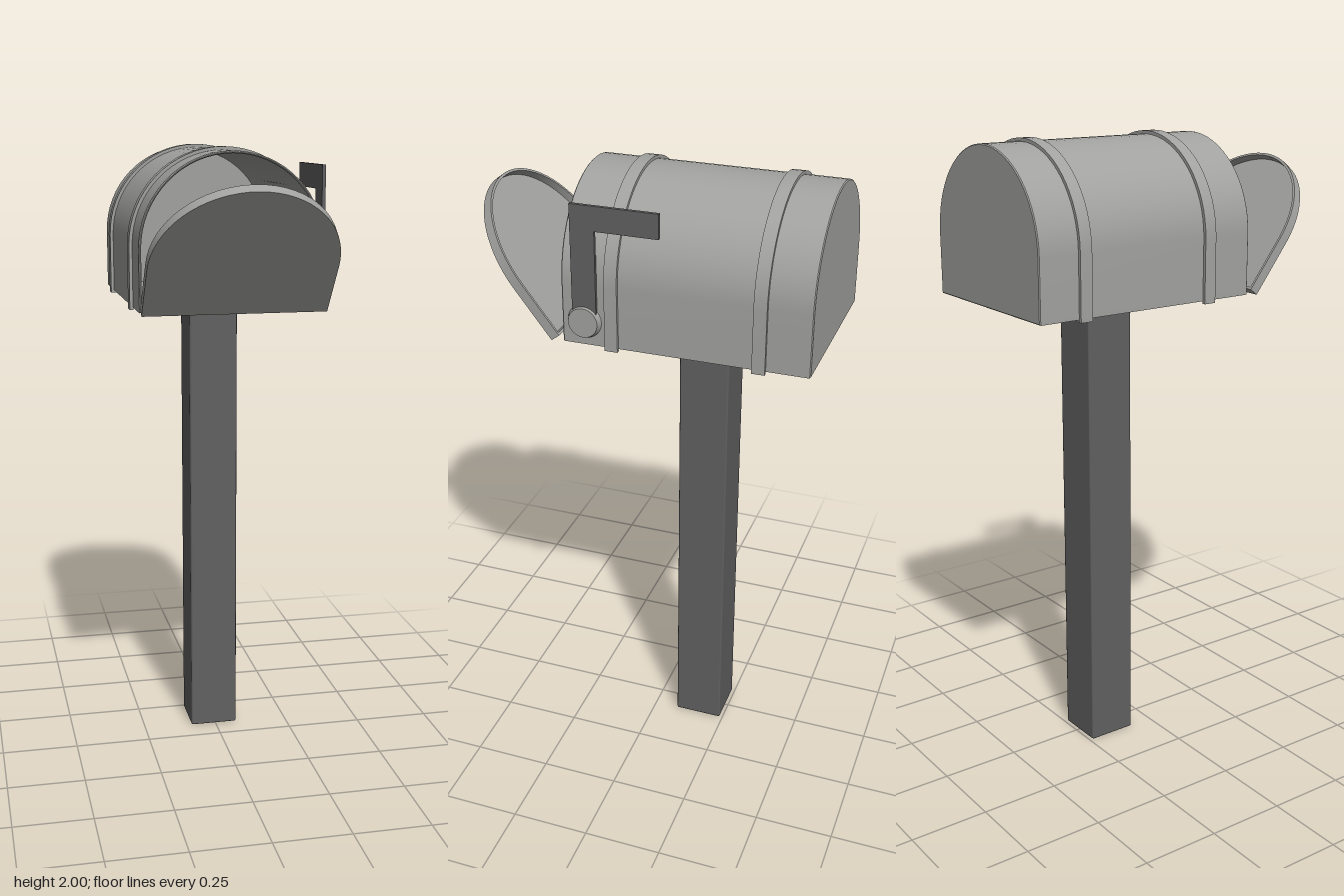
import * as THREE from 'three';
import { toCreasedNormals } from 'three/addons/utils/BufferGeometryUtils.js';
import { RoundedBoxGeometry } from 'three/addons/geometries/RoundedBoxGeometry.js';

const SPRING = 0.19; // height where the straight sides turn into the arch
const R = 0.289;     // half width of the box
const WALL = 0.008;

const lightMetal = new THREE.MeshStandardMaterial({ color: 0xa2a2a0 });
lightMetal.name = 'light metal';
const darkGrey = new THREE.MeshStandardMaterial({ color: 0x616161 });
darkGrey.name = 'dark grey';

// Round-topped outline with its base at y = bottom
function arch(r, bottom, Type = THREE.Shape) {
  const s = new Type();
  s.moveTo(-r, bottom);
  s.lineTo(r, bottom);
  s.lineTo(r, SPRING);
  s.absarc(0, SPRING, r, 0, Math.PI);
  s.lineTo(-r, bottom);
  return s;
}

// Closed ring: an arch with a smaller arch cut out
function archRing(r) {
  const s = arch(r, 0);
  s.holes.push(arch(r - WALL, WALL, THREE.Path));
  return s;
}

// Extrudes a shape from z0 to z1, with an optional small chamfer
function extrude(shape, z0, z1, bevel = 0) {
  const g = new THREE.ExtrudeGeometry(shape, {
    depth: z1 - z0 - 2 * bevel, curveSegments: 16,
    bevelEnabled: bevel > 0, bevelThickness: bevel, bevelSize: bevel,
    bevelOffset: -bevel, bevelSegments: 1,
  });
  g.translate(0, 0, z0 + bevel);
  return toCreasedNormals(g, 0.6);
}

function add(parent, name, geometry, material, x = 0, y = 0, z = 0) {
  const m = new THREE.Mesh(geometry, material);
  m.name = name;
  m.position.set(x, y, z);
  parent.add(m);
  return m;
}

export function createModel() {
  const model = new THREE.Group();
  model.name = 'mailbox';

  // Post
  add(model, 'post', new RoundedBoxGeometry(0.16, 1.512, 0.16, 1, 0.006), darkGrey, -0.006, 0.756, -0.16);

  // Hollow box, open at the front
  const box = new THREE.Group();
  box.name = 'box';
  box.position.set(-0.006, 1.51, 0);
  model.add(box);
  add(box, 'shell', extrude(archRing(R), -0.542, 0.216, 0.003), lightMetal);
  add(box, 'backPanel', extrude(arch(R - 0.003, 0.003), -0.542, -0.532), lightMetal);

  // Raised bands over the box, open underneath
  const band = new THREE.Shape();
  const ro = R + 0.01, ri = R - 0.002;
  band.moveTo(ro, -0.008);
  band.lineTo(ro, SPRING);
  band.absarc(0, SPRING, ro, 0, Math.PI);
  band.lineTo(-ro, -0.008);
  band.lineTo(-ri, -0.008);
  band.lineTo(-ri, SPRING);
  band.absarc(0, SPRING, ri, Math.PI, 0, true);
  band.lineTo(ri, -0.008);
  for (const z of [-0.39, 0.06]) {
    add(box, 'band', extrude(band, z - 0.02, z + 0.02), lightMetal);
  }
  // Band clip that pokes through the lower corner
  add(box, 'bandClip', new THREE.BoxGeometry(0.03, 0.045, 0.036), lightMetal, -0.284, 0.0145, -0.39);

  // Pan-shaped door, hanging half open
  const door = new THREE.Group();
  door.name = 'door';
  door.position.set(-0.006, 1.505, 0.255);
  door.rotation.x = 0.657;
  model.add(door);
  add(door, 'doorPanel', extrude(arch(R, 0), -0.006, 0), lightMetal);
  add(door, 'doorRim', extrude(archRing(R), -0.031, -0.006), lightMetal);

  // Flag: L-shaped plate drawn with x pointing backwards, on a round pivot
  const flag = new THREE.Shape([
    [-0.18, 1.58], [-0.105, 1.58], [-0.105, 1.87], [0.09, 1.87], [0.09, 1.945], [-0.18, 1.945],
  ].map(([x, y]) => new THREE.Vector2(x, y)));
  const flagGeometry = extrude(flag, 0, 0.011);
  flagGeometry.rotateY(Math.PI / 2);
  add(model, 'flag', flagGeometry, darkGrey, 0.282);

  const pivot = new THREE.CylinderGeometry(0.046, 0.053, 0.018, 24);
  pivot.rotateZ(-Math.PI / 2);
  add(model, 'flagPivot', toCreasedNormals(pivot, 0.6), lightMetal, 0.292, 1.585, 0.145);

  return model;
}
